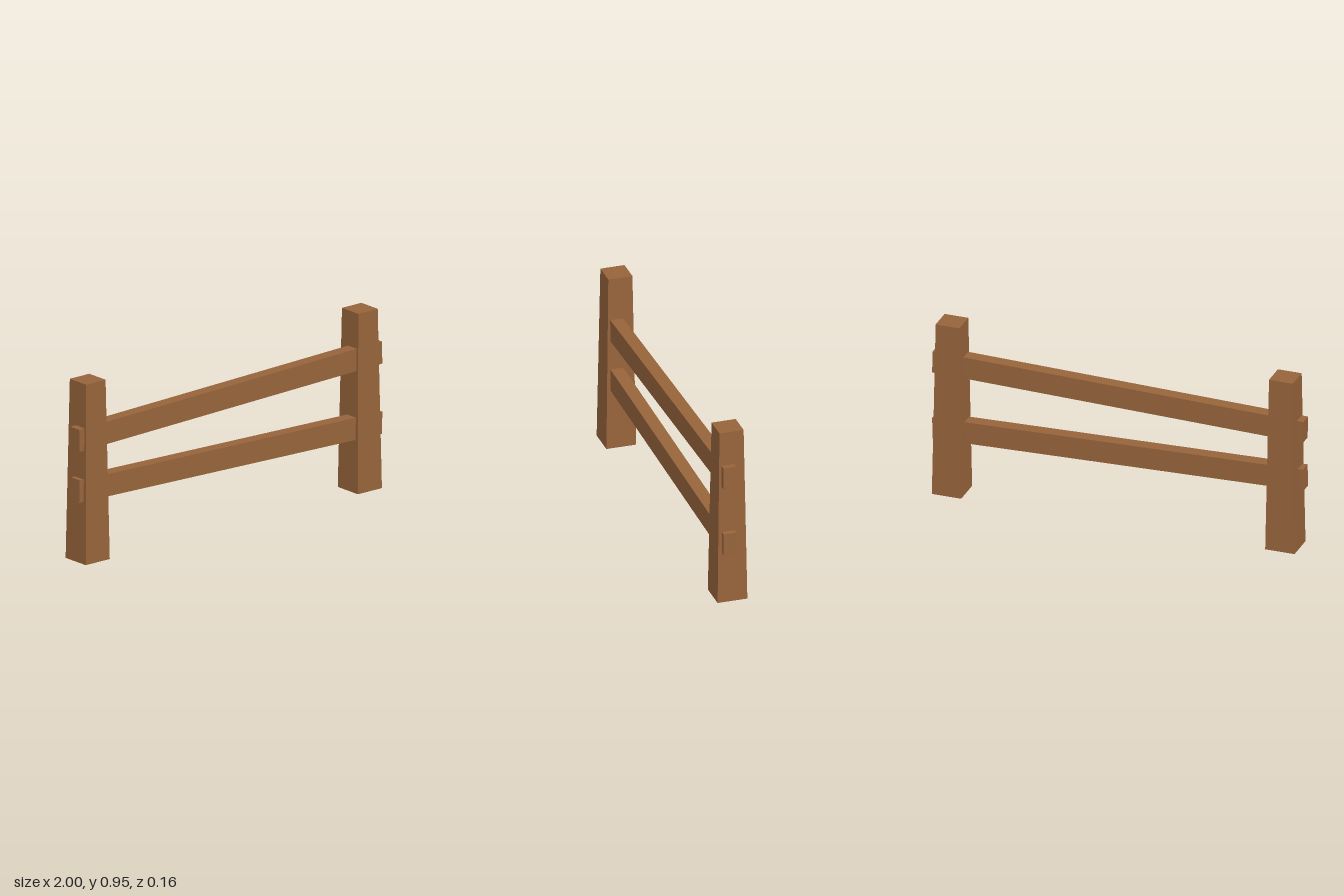
import * as THREE from 'three';

const POST = { height: 0.95, bottom: 0.158, top: 0.128, x: 0.897 };
const RAIL = { length: 1.996, height: 0.118, depth: 0.068, z: 0.021 };

// Square post, narrower at the top
function postGeometry() {
  const geo = new THREE.BoxGeometry(POST.bottom, POST.height, POST.bottom);
  geo.translate(0, POST.height / 2, 0);
  const pos = geo.attributes.position;
  const taper = POST.top / POST.bottom;
  for (let i = 0; i < pos.count; i++) {
    if (pos.getY(i) > POST.height / 2) {
      pos.setX(i, pos.getX(i) * taper);
      pos.setZ(i, pos.getZ(i) * taper);
    }
  }
  geo.computeVertexNormals();
  return geo;
}

export function createModel() {
  const group = new THREE.Group();
  group.name = 'fence';
  const wood = new THREE.MeshStandardMaterial({ color: 0x97643b });
  wood.name = 'brown wood';

  // Posts
  const postGeo = postGeometry();
  for (const [name, side] of [['leftPost', 1], ['rightPost', -1]]) {
    const post = new THREE.Mesh(postGeo, wood);
    post.name = name;
    post.position.x = side * POST.x;
    group.add(post);
  }

  // Sloping rails that pass through both posts
  const railGeo = new THREE.BoxGeometry(RAIL.length, RAIL.height, RAIL.depth);
  for (const [name, y, tilt] of [['upperRail', 0.683, 0.0255], ['lowerRail', 0.362, -0.0265]]) {
    const rail = new THREE.Mesh(railGeo, wood);
    rail.name = name;
    rail.position.set(0, y, RAIL.z);
    rail.rotation.z = tilt;
    group.add(rail);
  }
  return group;
}
